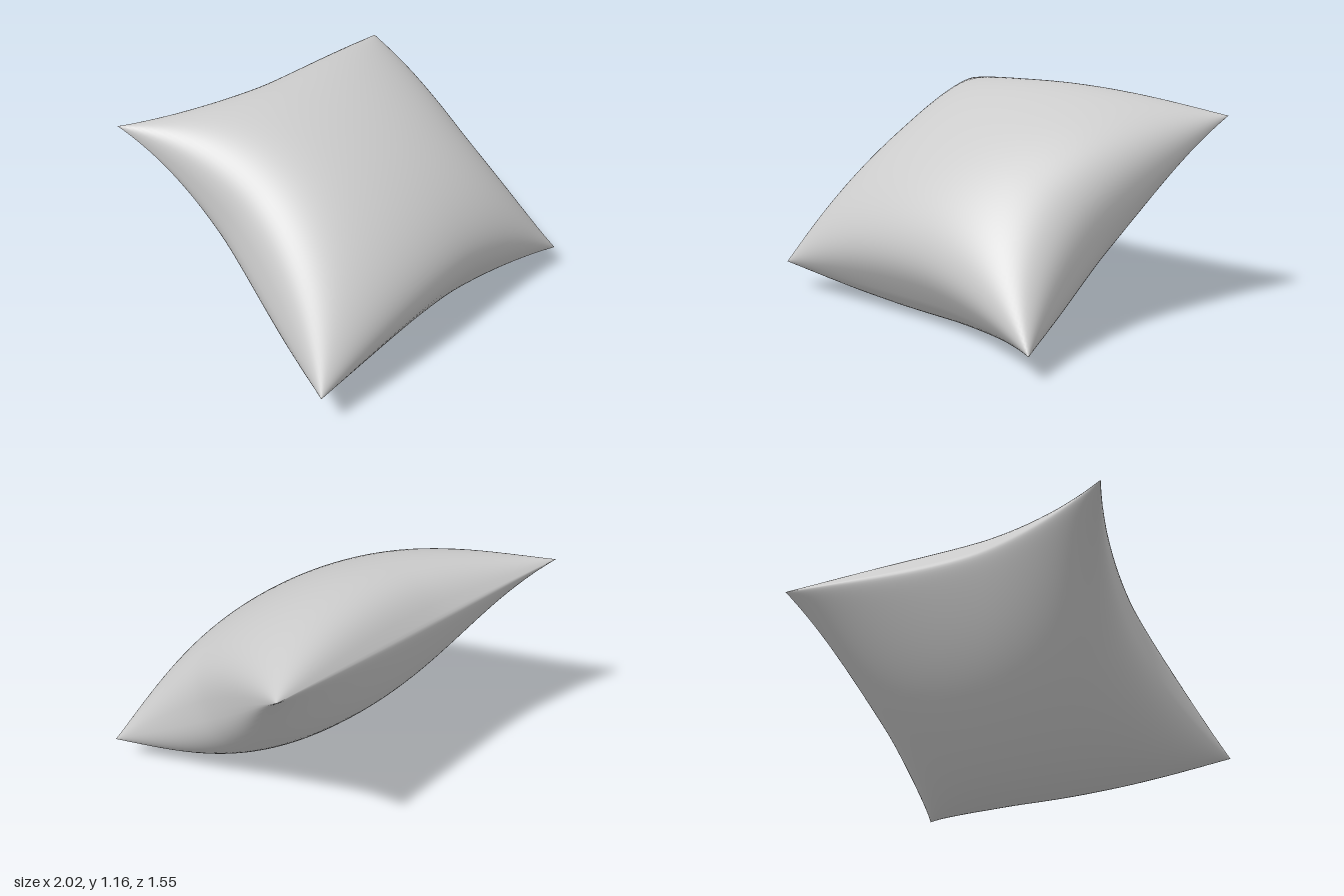
import * as THREE from 'three';
import { mergeGeometries, mergeVertices } from 'three/addons/utils/BufferGeometryUtils.js';

const SEGMENTS = 56;
const HALF_WIDTH = 0.938, HALF_HEIGHT = 0.825;

// Puff: steep at the middle of each seam, broad inside, thinner towards the corners
const puff = (s, t) =>
  Math.pow(Math.max(0, 1 - s * s), 0.36 + 0.14 * t * t) *
  Math.pow(Math.max(0, 1 - t * t), 0.34 + 0.14 * s * s);

// The underside sags towards the lower edge and flattens towards the upper one
const sag = (t) => 0.96 - 0.38 * t - 0.28 * Math.max(t, 0) ** 2;

// Inward pull along an edge, deepest a little off its middle
const pinch = (a, shift) => 1 - Math.pow(Math.abs(a + shift * (1 - a * a)), 1.7);

// One cushion panel: side = 1 for the upper face, -1 for the lower face
function panel(side) {
  const geometry = new THREE.PlaneGeometry(2, 2, SEGMENTS, SEGMENTS);
  if (side < 0) geometry.rotateY(Math.PI);
  const p = geometry.attributes.position;
  for (let i = 0; i < p.count; i++) {
    // Crowd the rows towards the seam so the rim stays round
    const s = Math.sin(p.getX(i) * Math.PI / 2);
    const t = Math.sin(p.getY(i) * Math.PI / 2);
    const u = s * HALF_WIDTH * (1 - 0.176 * pinch(t, 0.13 * s));
    const v = t * HALF_HEIGHT * (1 - (0.145 + 0.012 * t) * pinch(s, 0.22 * t));
    const n = side > 0 ? 0.43 * puff(s, t) : -0.375 * puff(s, t) * sag(t);
    p.setXYZ(i, u, v, n);
  }
  geometry.deleteAttribute('uv');
  geometry.deleteAttribute('normal');
  return geometry;
}

export function createModel() {
  const group = new THREE.Group();
  group.name = 'pillow';

  // Join both panels along the seam for one smooth surface
  const geometry = mergeVertices(mergeGeometries([panel(1), panel(-1)]), 1e-5);

  // Lean the cushion back, with a slight turn
  const across = new THREE.Vector3(1.865, -0.035, 0.185).normalize();
  const up = new THREE.Vector3(0.135, 0.91, -1.372);
  const out = new THREE.Vector3().crossVectors(across, up).normalize();
  up.crossVectors(out, across);
  geometry.applyMatrix4(new THREE.Matrix4().makeBasis(across, up, out));

  // Rest it on the ground
  geometry.computeBoundingBox();
  geometry.translate(0, -geometry.boundingBox.min.y, 0);
  geometry.computeVertexNormals();

  const cushion = new THREE.Mesh(
    geometry,
    new THREE.MeshStandardMaterial({ color: 0xcccccc })
  );
  cushion.name = 'cushion';
  group.add(cushion);
  return group;
}
